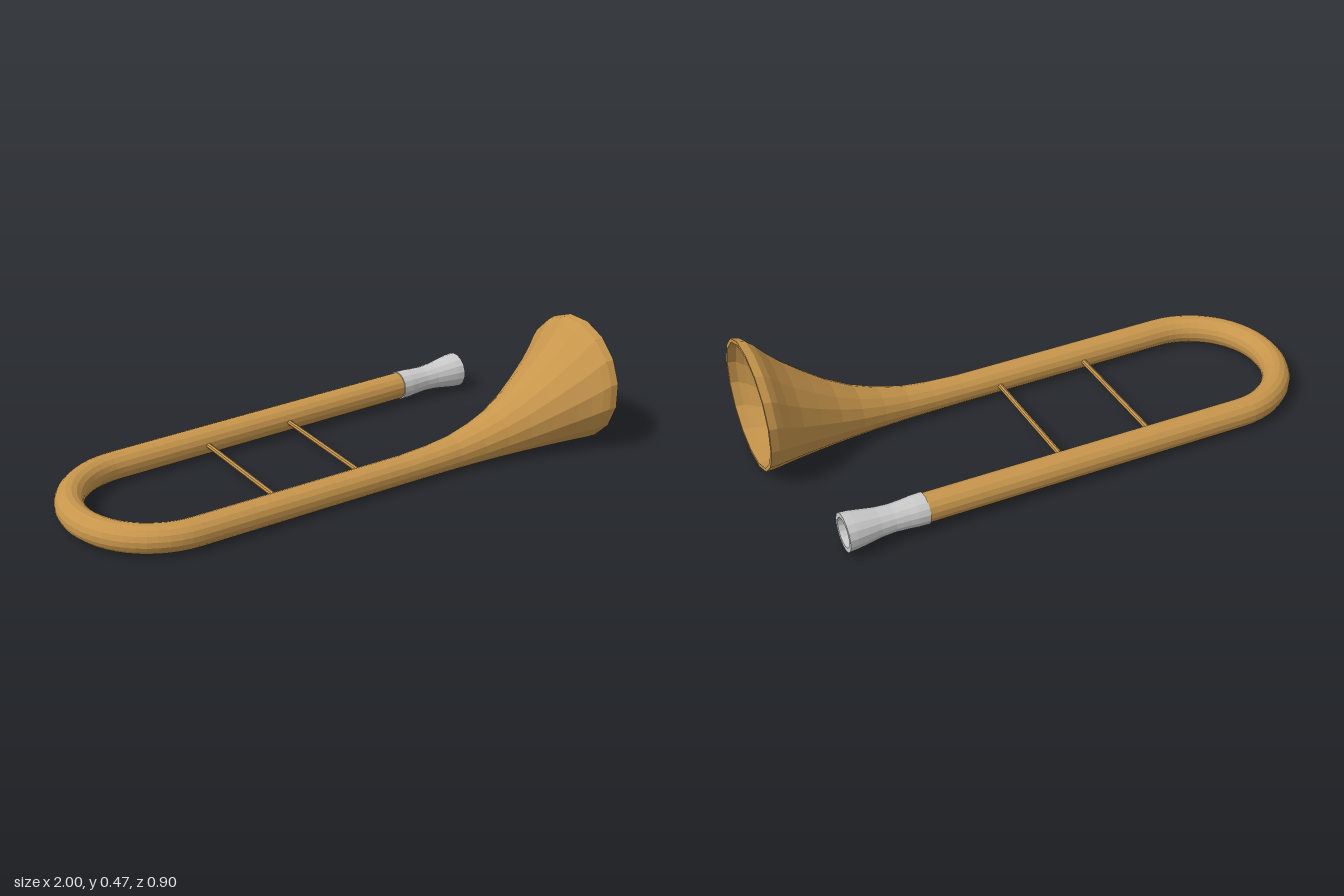
import * as THREE from 'three';

const SIDES = 16;
const TUBE_R = 0.052, WALL = 0.013;
const BACK_Z = -0.385, FRONT_Z = 0.215, BEND_X = -0.65;
const BEND_R = (FRONT_Z - BACK_Z) / 2;

// Height of the mouthpiece-side run, which climbs gently from the bend
const backY = (x) => TUBE_R + 0.0136 * (x - BEND_X);

// Skin of 16-sided rings; each section is { x, y, z, r, tx, tz } (t = level heading)
function loft(sections) {
  const pos = [], index = [];
  for (const s of sections) {
    const rad = s.r / Math.cos(Math.PI / SIDES);
    for (let j = 0; j < SIDES; j++) {
      const a = ((j + 0.5) / SIDES) * Math.PI * 2;
      const side = Math.cos(a) * rad;
      pos.push(s.x + s.tz * side, s.y + Math.sin(a) * rad, s.z - s.tx * side);
    }
  }
  for (let i = 0; i < sections.length - 1; i++) {
    for (let j = 0; j < SIDES; j++) {
      const k = (j + 1) % SIDES;
      const a = i * SIDES + j, b = i * SIDES + k;
      index.push(a, b, a + SIDES, b, b + SIDES, a + SIDES);
    }
  }
  const geo = new THREE.BufferGeometry();
  geo.setAttribute('position', new THREE.Float32BufferAttribute(pos, 3));
  geo.setIndex(index);
  const flat = geo.toNonIndexed();
  flat.computeVertexNormals();
  return flat;
}

// Closed shell: outer skin forward, inner skin back, and the starting lip
function shell(outer, innerRadius) {
  const inner = outer.map((s) => ({ ...s, r: innerRadius(s) })).reverse();
  return loft([...outer, ...inner, outer[0]]);
}

export function createModel() {
  const group = new THREE.Group();
  const brass = new THREE.MeshStandardMaterial({ color: 0xc8964c, flatShading: true });
  const silver = new THREE.MeshStandardMaterial({ color: 0xcccccc, flatShading: true });
  const add = (name, geometry, material) => {
    const mesh = new THREE.Mesh(geometry, material);
    mesh.name = name;
    group.add(mesh);
    return mesh;
  };

  // Tube: back run, half-circle bend, front run flaring into the bell
  const path = [];
  for (const x of [0.63, 0.2, -0.25]) {
    path.push({ x, y: backY(x), z: BACK_Z, r: TUBE_R, tx: -1, tz: 0 });
  }
  const bendSteps = 28;
  for (let i = 0; i <= bendSteps; i++) {
    const a = (i / bendSteps) * Math.PI;
    path.push({
      x: BEND_X - BEND_R * Math.sin(a), y: TUBE_R,
      z: (BACK_Z + FRONT_Z) / 2 - BEND_R * Math.cos(a),
      r: TUBE_R, tx: -Math.cos(a), tz: Math.sin(a),
    });
  }
  // The underside stays level, so each centre sits one radius above the ground
  const flare = [
    [-0.2, 0.052], [0.2, 0.0525], [0.32, 0.056], [0.42, 0.062], [0.52, 0.075],
    [0.61, 0.092], [0.7, 0.117], [0.78, 0.146], [0.86, 0.178], [0.91, 0.202],
    [0.945, 0.222], [0.97, 0.233], [1.0, 0.236],
  ];
  for (const [x, r] of flare) path.push({ x, y: r, z: FRONT_Z, r, tx: 1, tz: 0 });
  add('tubeAndBell', shell(path, (s) => s.r - WALL), brass);

  // Mouthpiece: waisted sleeve with a cupped opening
  const profile = [
    [0.89, 0.068, 0.052], [0.86, 0.066, 0.049], [0.82, 0.06, 0.045], [0.77, 0.052, 0.04],
    [0.72, 0.049, 0.038], [0.67, 0.052, 0.038], [0.64, 0.055, 0.038], [0.6, 0.056, 0.038],
  ];
  const cup = profile.map(([x, r, inner]) => (
    { x, y: backY(x), z: BACK_Z, r, inner, tx: -1, tz: 0 }));
  add('mouthpiece', shell(cup, (s) => s.inner), silver);

  // Two thin braces between the runs
  for (const [i, x] of [-0.3, 0.055].entries()) {
    const from = new THREE.Vector3(x, TUBE_R, FRONT_Z - 0.045);
    const to = new THREE.Vector3(x, backY(x), BACK_Z + 0.045);
    const dir = to.clone().sub(from);
    const rod = add(`brace${i + 1}`, new THREE.CylinderGeometry(0.01, 0.01, dir.length(), 8), brass);
    rod.position.copy(from).add(to).multiplyScalar(0.5);
    rod.quaternion.setFromUnitVectors(new THREE.Vector3(0, 1, 0), dir.normalize());
  }

  return group;
}
